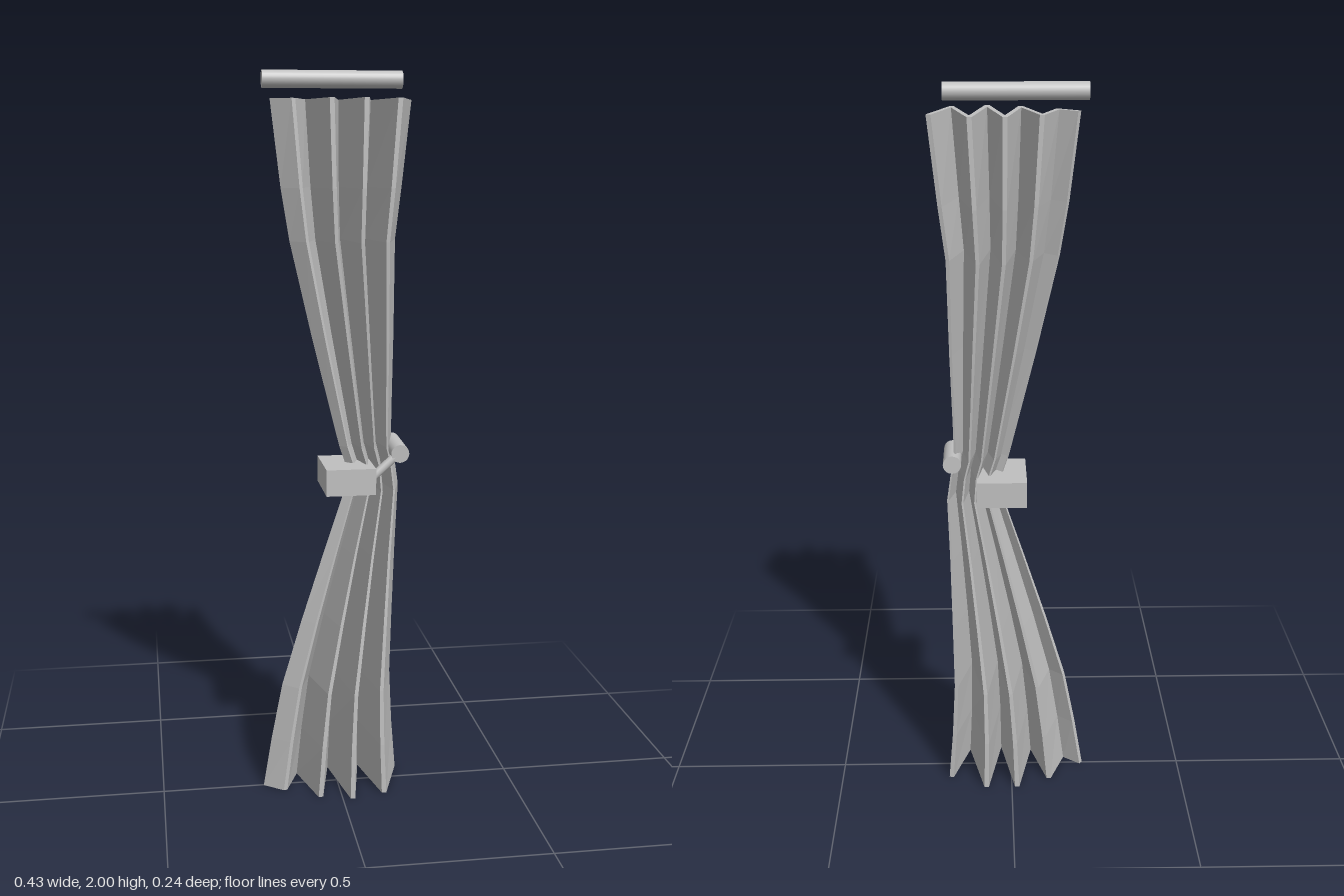
import * as THREE from 'three';

// Pleat centreline in plan (x, z) at the top hem
const PLEATS = [
  [-0.173, -0.003], [-0.12, 0.038], [-0.075, -0.079], [-0.026, 0.097], [0.018, -0.121],
  [0.061, 0.12], [0.106, -0.121], [0.153, 0.097], [0.208, -0.07],
];
const HALF_THICKNESS = 0.0065;

// Height, left edge, right edge, depth scale
const LEVELS = [
  [0.003, -0.217, 0.185, 1], [0.15, -0.192, 0.173, 1], [0.31, -0.16, 0.165, 0.94],
  [0.5, -0.103, 0.168, 0.78], [0.7, -0.038, 0.172, 0.58], [0.88, 0.022, 0.178, 0.44],
  [0.95, 0.022, 0.168, 0.42], [1.0, 0.005, 0.157, 0.43], [1.1, -0.02, 0.159, 0.5],
  [1.3, -0.07, 0.165, 0.68], [1.56, -0.13, 0.17, 0.9], [1.7, -0.153, 0.188, 0.98],
  [1.928, -0.18, 0.213, 1],
];

// Closed outline of the pleated cloth: blunt outer folds, mitred inner folds
function clothOutline() {
  const pts = PLEATS.map(([x, z]) => new THREE.Vector2(x, z));
  const normals = pts.slice(1).map((p, i) => {
    const d = p.clone().sub(pts[i]).normalize();
    return new THREE.Vector2(-d.y, d.x);
  });
  const front = [], back = [];
  const offset = (p, n, s) => p.clone().addScaledVector(n, s * HALF_THICKNESS);
  pts.forEach((p, i) => {
    const a = normals[i - 1], b = normals[i];
    if (!a || !b) {
      front.push(offset(p, a || b, 1));
      back.push(offset(p, a || b, -1));
      return;
    }
    const miter = a.clone().add(b).divideScalar(1 + a.dot(b));
    const frontFold = a.cross(b) < 0;
    for (const n of [a, b]) {
      front.push(offset(p, frontFold ? n : miter, 1));
      back.push(offset(p, frontFold ? miter : n, -1));
    }
  });
  return [...front, ...back.reverse()];
}

// Loft the outline through the levels and close both hems
function curtainGeometry() {
  const ring = clothOutline(), n = ring.length;
  const positions = [], index = [];
  for (const [y, left, right, depth] of LEVELS) {
    for (const p of ring) {
      positions.push(left + ((p.x + 0.18) / 0.395) * (right - left), y, p.y * depth);
    }
  }
  const quad = (a, b, c, d) => index.push(a, b, c, a, c, d);
  for (let k = 0; k < LEVELS.length - 1; k++) {
    for (let i = 0; i < n; i++) {
      const j = (i + 1) % n, lo = k * n, hi = lo + n;
      quad(lo + i, lo + j, hi + j, hi + i);
    }
  }
  const top = (LEVELS.length - 1) * n;
  for (let i = 0; i < n / 2 - 1; i++) {
    const j = n - 1 - i;
    quad(top + i, top + i + 1, top + j - 1, top + j);
    quad(j, j - 1, i + 1, i);
  }
  const geometry = new THREE.BufferGeometry();
  geometry.setAttribute('position', new THREE.Float32BufferAttribute(positions, 3));
  geometry.setIndex(index);
  const flat = geometry.toNonIndexed();
  flat.computeVertexNormals();
  return flat;
}

export function createModel() {
  const group = new THREE.Group();
  const grey = new THREE.MeshStandardMaterial({ color: 0xc0c0c0 });
  grey.name = 'lightGrey';

  const add = (name, geometry) => {
    const mesh = new THREE.Mesh(geometry, grey);
    mesh.name = name;
    group.add(mesh);
    return mesh;
  };
  // Cylinder between two points
  const bar = (name, from, to, radius, sides) => {
    const a = new THREE.Vector3(...from), b = new THREE.Vector3(...to);
    const dir = b.clone().sub(a);
    const mesh = add(name, new THREE.CylinderGeometry(radius, radius, dir.length(), sides));
    mesh.position.copy(a).add(b).multiplyScalar(0.5);
    mesh.quaternion.setFromUnitVectors(new THREE.Vector3(0, 1, 0), dir.normalize());
  };

  add('curtain', curtainGeometry());

  // Rod above the cloth
  bar('curtainRod', [-0.197, 1.977, -0.003], [0.173, 1.977, -0.003], 0.023, 24);

  // Block that gathers the cloth, with its cord and wall peg
  add('tieback', new THREE.BoxGeometry(0.136, 0.073, 0.183)).position.set(0.026, 0.917, 0.003);
  bar('tiebackCord', [0.085, 0.925, 0.078], [0.155, 0.985, 0.07], 0.012, 12);
  bar('tiebackPeg', [0.162, 0.99, 0.083], [0.162, 0.996, -0.06], 0.025, 20);

  return group;
}
